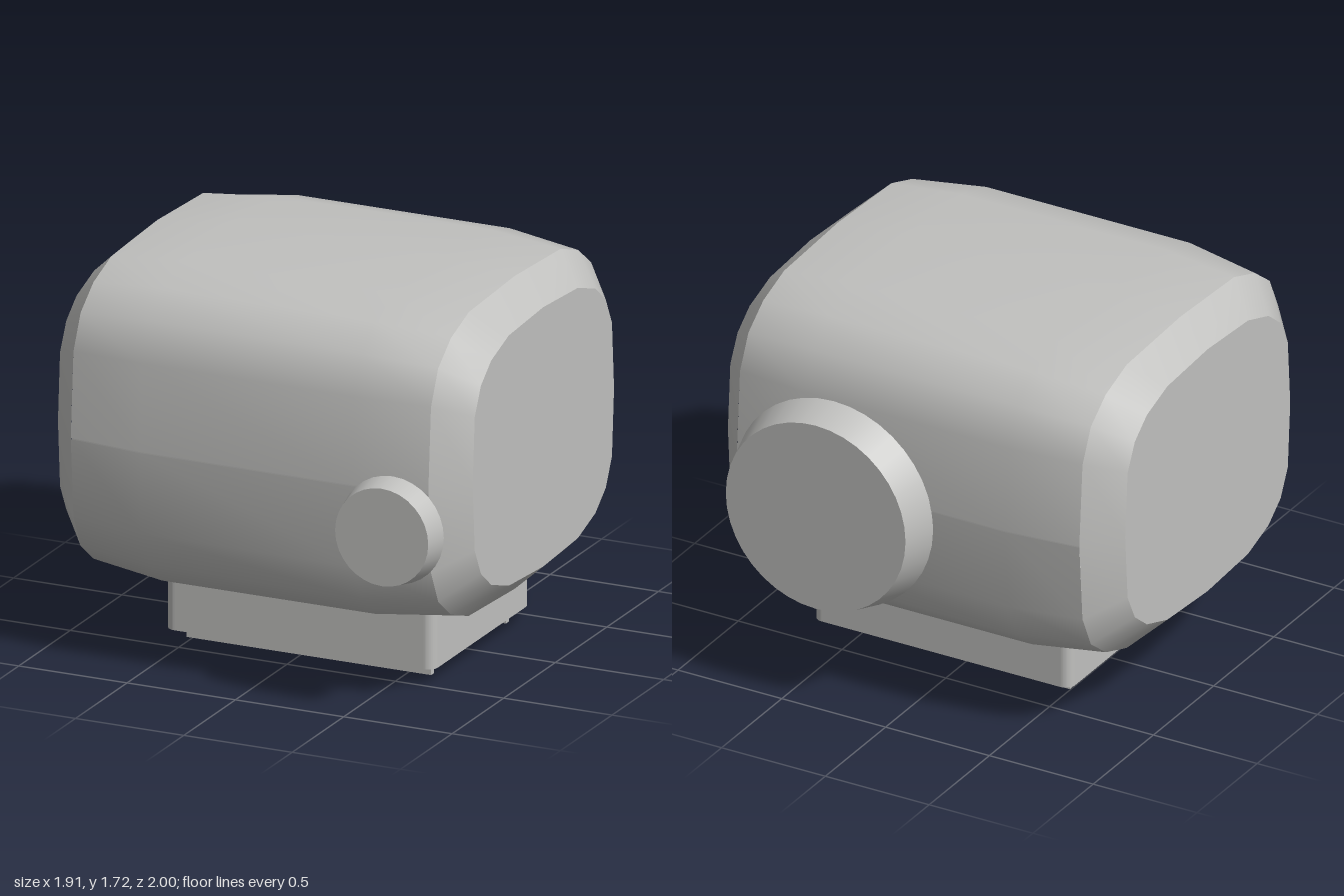
import * as THREE from 'three';

const CY = 0.9975, CZ = 0.025; // centre of the body cross-section

// Quarter outlines [z, y] from the side midpoint up to the crown
const FULL = [[0.875, 0], [0.855, 0.375], [0.78, 0.54], [0.655, 0.645], [0.455, 0.703], [0, 0.724]];
const SHOULDER = [[0.838, 0], [0.812, 0.365], [0.742, 0.515], [0.618, 0.61], [0.445, 0.67], [0, 0.69]];
const END = [[0.685, 0], [0.665, 0.295], [0.605, 0.415], [0.505, 0.495], [0.335, 0.552], [0, 0.572]];

const upper = (q) => [...q, ...q.slice(0, -1).reverse().map(([z, y]) => [-z, y])];
const lower = (q) => upper(q).map(([z, y]) => [-z, -y]);
const ring = (q) => [...upper(q).slice(0, -1), ...lower(q).slice(0, -1)];

// Skin through cross-sections [x, points] running from -x to +x
function loft(sections, closed) {
  const n = sections[0][1].length, pos = [], idx = [];
  for (const [x, pts] of sections) for (const [z, y] of pts) pos.push(x, y, z);
  for (let i = 0; i < sections.length - 1; i++) {
    for (let j = 0; j < (closed ? n : n - 1); j++) {
      const k = (j + 1) % n, a = i * n + j, c = i * n + k;
      idx.push(a, a + n, c, a + n, c + n, c);
    }
  }
  const g = new THREE.BufferGeometry();
  g.setAttribute('position', new THREE.Float32BufferAttribute(pos, 3));
  g.setIndex(idx);
  g.computeVertexNormals();
  return g;
}

export function createModel() {
  const model = new THREE.Group();
  model.name = 'boxyDevice';
  const grey = new THREE.MeshStandardMaterial({ color: 0xc0c0be });
  grey.name = 'grey';

  const add = (name, geometry, x = 0, y = 0, z = 0, parent = model) => {
    const mesh = new THREE.Mesh(geometry, grey);
    mesh.name = name;
    mesh.position.set(x, y, z);
    parent.add(mesh);
    return mesh;
  };

  // Body: upper and lower shells meeting at a fine seam
  const body = new THREE.Group();
  body.name = 'body';
  body.position.set(0, CY, CZ);
  model.add(body);
  const stations = [[-0.825, SHOULDER], [-0.49, FULL], [0.49, FULL], [0.825, SHOULDER]];
  const shell = (half, seamY) => loft(stations.map(([x, q]) => {
    const pts = half(q);
    pts[0] = [pts[0][0], seamY];
    pts[pts.length - 1] = [pts[pts.length - 1][0], seamY];
    return [x, pts];
  }), false);
  add('upperShell', shell(upper, -0.009), 0, 0, 0, body);
  add('lowerShell', shell(lower, -0.014), 0, 0, 0, body);

  // Recessed strip behind the seam on front and back
  for (const s of [1, -1]) {
    const strip = stations.map(([x, q]) => {
      const z = s * (q[0][0] - 0.008);
      return [x, [[z, -s * 0.024], [z, s * 0.024]]];
    });
    add(s > 0 ? 'frontSeam' : 'backSeam', loft(strip, false), 0, -0.0115, 0, body);
  }

  // Chamfered ends and flat end plates
  const endShape = new THREE.Shape(ring(END).map(([z, y]) => new THREE.Vector2(z, y)));
  for (const s of [1, -1]) {
    const side = s > 0 ? 'left' : 'right';
    const sections = [[s * 0.825, ring(SHOULDER)], [s * 0.957, ring(END)]];
    if (s < 0) sections.reverse();
    add(side + 'Chamfer', loft(sections, true), 0, 0, 0, body);
    add(side + 'EndPlate', new THREE.ShapeGeometry(endShape).rotateY(s * Math.PI / 2), s * 0.957, 0, 0, body);
  }

  // Tapered round knobs, small in front and large behind
  add('frontKnob', new THREE.CylinderGeometry(0.215, 0.237, 0.105, 32).rotateX(Math.PI / 2), 0.675, 0.817, 0.9475);
  add('backKnob', new THREE.CylinderGeometry(0.433, 0.478, 0.152, 40).rotateX(-Math.PI / 2), 0.337, 0.902, -0.924);

  // Base block with rounded upright edges
  const w = 0.62, d = 0.4725, r = 0.045;
  const plan = new THREE.Shape();
  plan.absarc(w - r, d - r, r, 0, Math.PI / 2);
  plan.absarc(r - w, d - r, r, Math.PI / 2, Math.PI);
  plan.absarc(r - w, r - d, r, Math.PI, Math.PI * 1.5);
  plan.absarc(w - r, r - d, r, Math.PI * 1.5, Math.PI * 2);
  const block = new THREE.ExtrudeGeometry(plan, { depth: 0.26, bevelEnabled: false, curveSegments: 6 });
  add('base', block.rotateX(-Math.PI / 2), 0.055, 0.072, 0.0275);

  // Rails and hexagonal peg underneath
  for (const [name, z] of [['frontRail', 0.39], ['backRail', -0.335]]) {
    add(name, new THREE.BoxGeometry(1.13, 0.065, 0.03), 0.055, 0.0475, z);
  }
  const peg = new THREE.CylinderGeometry(0.062, 0.062, 0.08, 6).toNonIndexed();
  peg.computeVertexNormals();
  add('peg', peg, -0.342, 0.04, 0.0275);

  return model;
}
